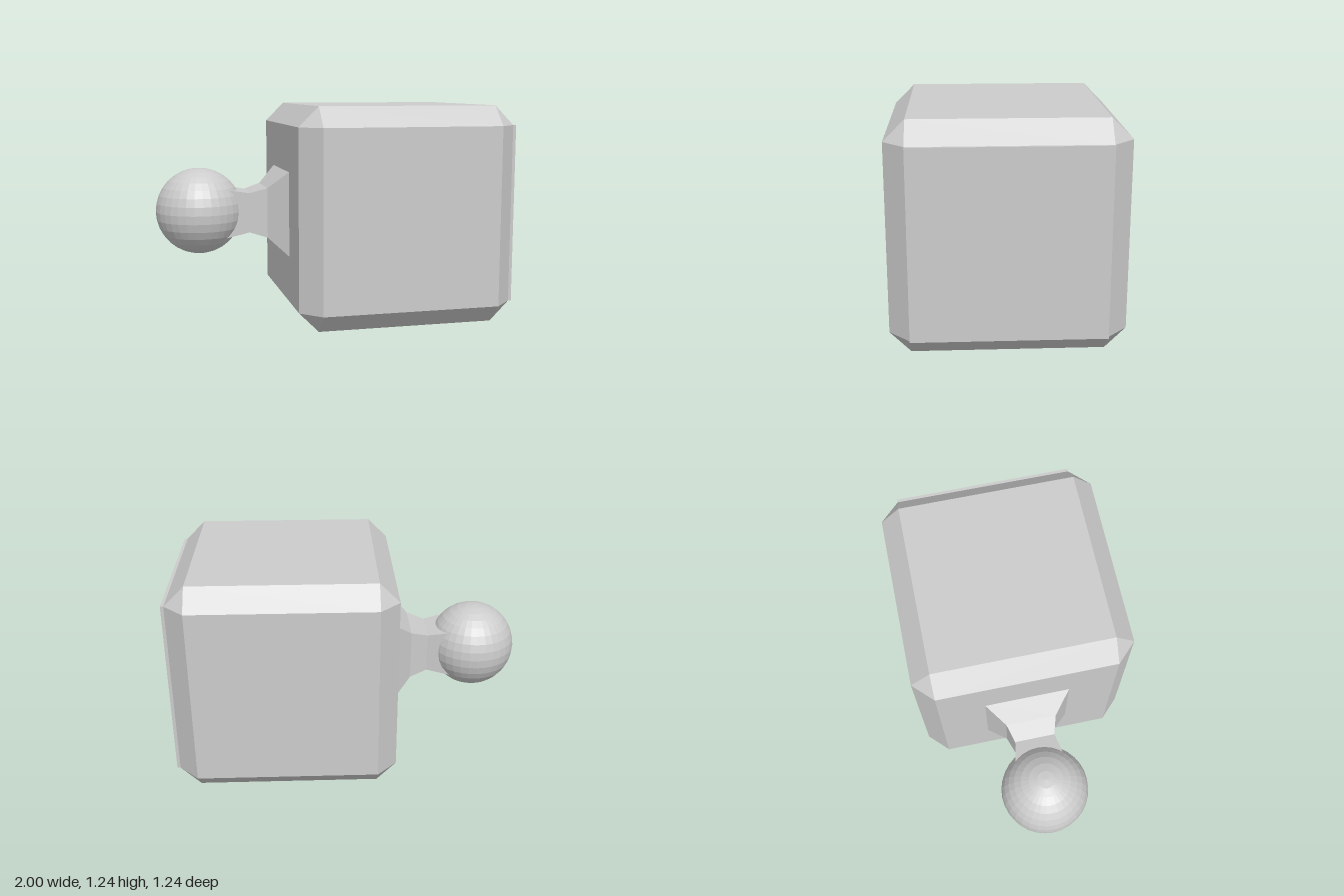
import * as THREE from 'three';
import { ConvexGeometry } from 'three/addons/geometries/ConvexGeometry.js';

const material = new THREE.MeshStandardMaterial({ color: 0xcccccc, flatShading: true });

// Box with flat 45 degree chamfers: three corner points per octant
function chamferedBox(half, inner) {
  const points = [];
  for (const x of [-1, 1]) for (const y of [-1, 1]) for (const z of [-1, 1]) {
    points.push(
      new THREE.Vector3(x * half, y * inner, z * inner),
      new THREE.Vector3(x * inner, y * half, z * inner),
      new THREE.Vector3(x * inner, y * inner, z * half)
    );
  }
  return new ConvexGeometry(points);
}

export function createModel() {
  const group = new THREE.Group();
  const centreY = 0.622;
  const add = (name, geometry, x, y = centreY) => {
    const mesh = new THREE.Mesh(geometry, material);
    mesh.name = name;
    mesh.position.set(x, y, 0);
    group.add(mesh);
  };

  // Main block and the thin plate on its side
  add('block', chamferedBox(0.622, 0.51), 0.36);
  add('sidePlate', new THREE.BoxGeometry(0.03, 1.02, 1.02), 0.985);

  // Square neck: [distance towards -x, half width]
  const sections = [[0.25, 0.255], [0.37, 0.145], [0.47, 0.115], [0.58, 0.135], [0.64, 0.147]];
  const profile = sections.map(([d, half]) => new THREE.Vector2(half * Math.SQRT2, d));
  const neck = new THREE.LatheGeometry(profile, 4, Math.PI / 4);
  neck.rotateZ(Math.PI / 2);
  add('neck', neck, 0);

  // Ball at the end of the neck
  add('ball', new THREE.SphereGeometry(0.25, 32, 16), -0.75, 0.63);

  return group;
}
